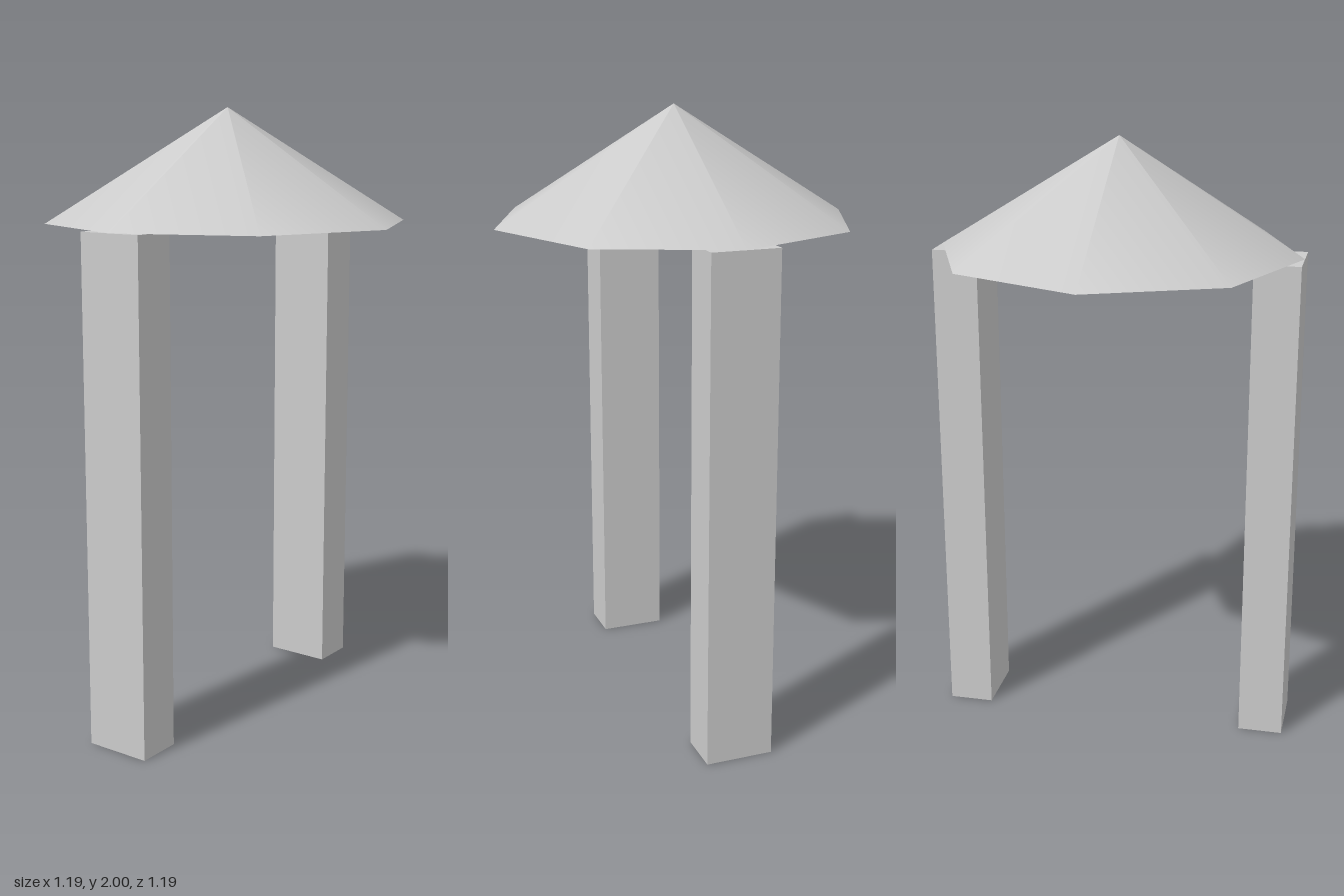
import * as THREE from 'three';

export function createModel() {
  const model = new THREE.Group();
  const material = new THREE.MeshStandardMaterial({ color: 0xcccccc });
  const radius = 0.593, eaves = 1.634, postWidth = 0.148, postDepth = 0.22;

  // Eight-sided roof, softly shaded, with a closed underside
  const roof = new THREE.Mesh(new THREE.ConeGeometry(radius, 2 - eaves, 8), material);
  roof.name = 'roof';
  roof.position.y = (2 + eaves) / 2;
  model.add(roof);

  // Two posts, their outer faces level with the roof corners
  for (const [name, side] of [['leftPost', 1], ['rightPost', -1]]) {
    const post = new THREE.Mesh(new THREE.BoxGeometry(postWidth, eaves, postDepth), material);
    post.name = name;
    post.position.set(side * (radius - postWidth / 2), eaves / 2, 0);
    model.add(post);
  }
  return model;
}
